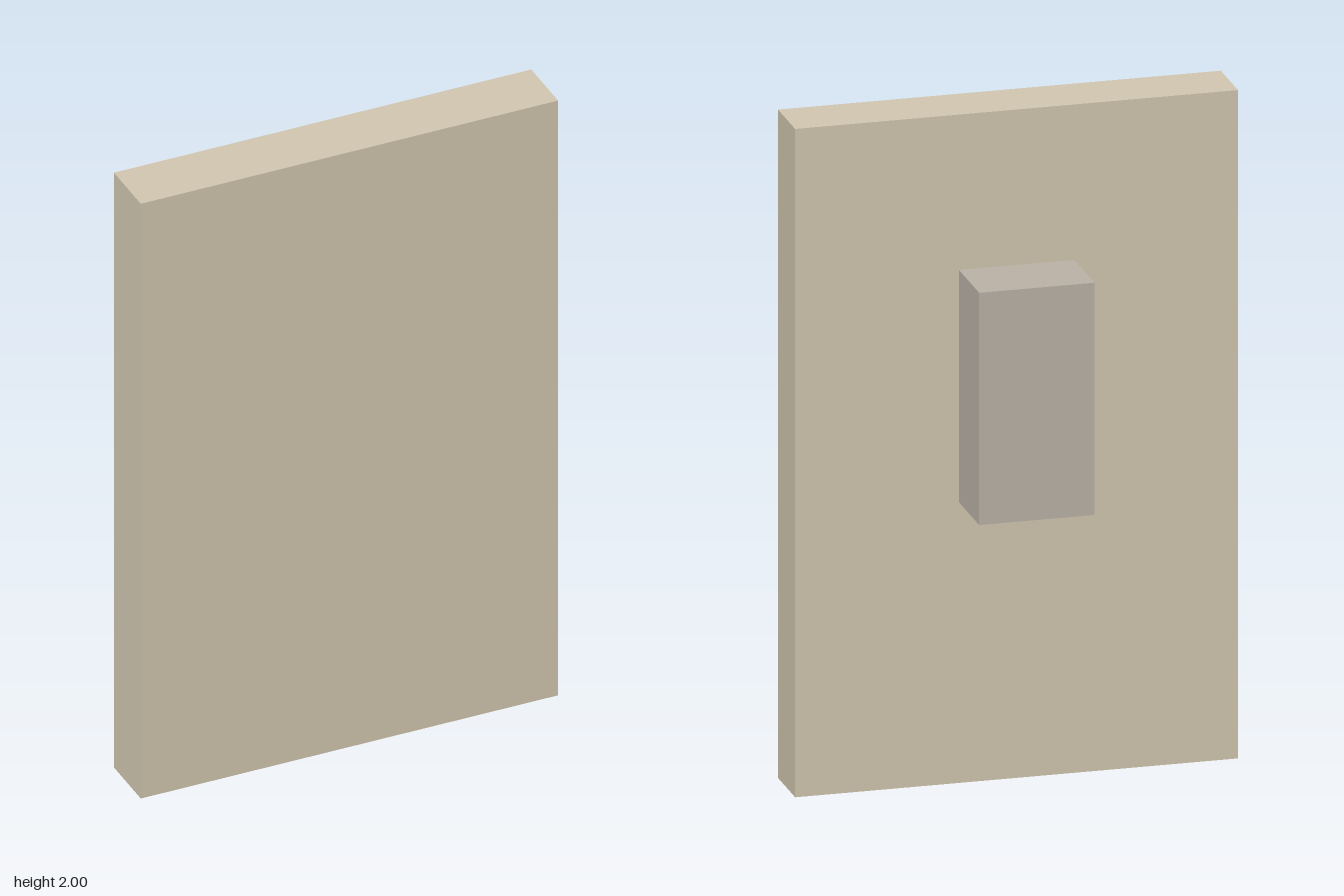
import * as THREE from 'three';

// Axis-aligned box given by its min and max corners
function slab(name, min, max, color) {
  const size = max.map((v, i) => v - min[i]);
  const mesh = new THREE.Mesh(
    new THREE.BoxGeometry(...size),
    new THREE.MeshStandardMaterial({ color })
  );
  mesh.name = name;
  mesh.position.set(...max.map((v, i) => (v + min[i]) / 2));
  return mesh;
}

export function createModel() {
  const model = new THREE.Group();
  model.name = 'panelWithHandle';

  // Upright board at the front
  model.add(slab('panel', [-0.653, 0, 0.016], [0.653, 2, 0.198], 0xd3c8b1));

  // Block grip standing off the back of the board
  model.add(slab('handle', [-0.17, 0.84, -0.198], [0.17, 1.535, 0.016], 0xbdb4a8));

  return model;
}
